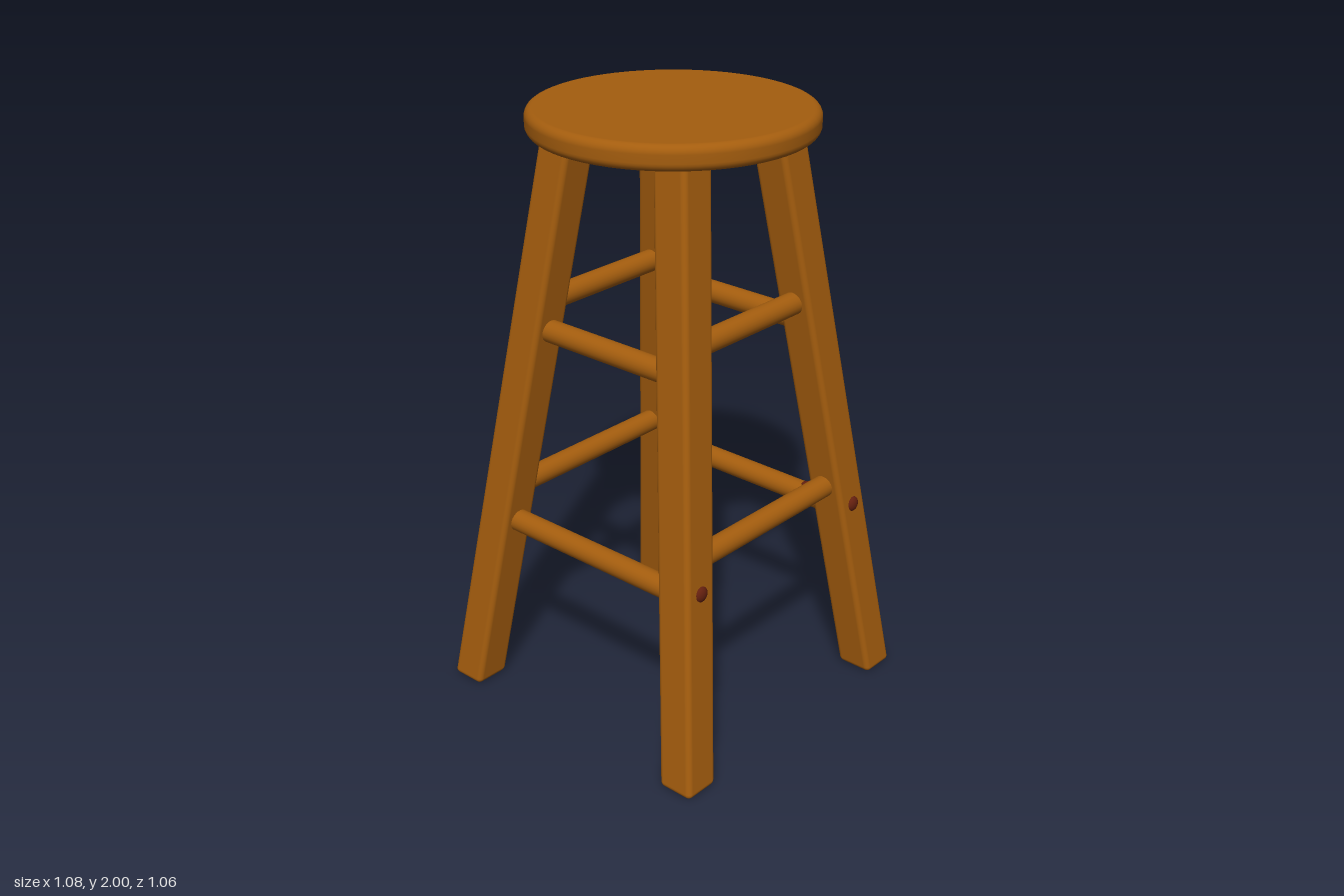
import * as THREE from 'three';
import { RoundedBoxGeometry } from 'three/addons/geometries/RoundedBoxGeometry.js';

const wood = new THREE.MeshStandardMaterial({ color: 0xa45d0e });
wood.name = 'warm wood';
const redBrown = new THREE.MeshStandardMaterial({ color: 0x64200f });
redBrown.name = 'dark red brown';

const LEG_HEIGHT = 1.93, LEG_WIDTH = 0.126;
const SPLAY_X = 0.13, SPLAY_Z = 0.132; // inward lean per unit of height
const legX = (y) => 0.477 - SPLAY_X * y;
const legZ = (y) => 0.471 - SPLAY_Z * y;

function add(parent, name, geometry, material, x = 0, y = 0, z = 0) {
  const mesh = new THREE.Mesh(geometry, material);
  mesh.name = name;
  mesh.position.set(x, y, z);
  parent.add(mesh);
  return mesh;
}

// Round seat with softened edges and a darker underside
function makeSeat() {
  const seat = new THREE.Group();
  seat.name = 'seat';
  const R = 0.448, bottom = 1.92, top = 2, r = 0.027;
  const profile = [new THREE.Vector2(0.37, bottom)];
  const arc = (cy, from) => {
    for (let i = 0; i <= 6; i++) {
      const a = from + (i / 6) * Math.PI / 2;
      profile.push(new THREE.Vector2(R - r + Math.cos(a) * r, cy + Math.sin(a) * r));
    }
  };
  arc(bottom + r, -Math.PI / 2);
  arc(top - r, 0);
  profile.push(new THREE.Vector2(0, top));
  add(seat, 'seatTop', new THREE.LatheGeometry(profile, 64), wood);
  const under = add(seat, 'seatUnderside', new THREE.CircleGeometry(0.37, 64), redBrown, 0, bottom, 0);
  under.rotation.x = Math.PI / 2;
  return seat;
}

// Square leg sheared inwards, so its foot and top stay level
function makeLeg(sx, sz) {
  const geometry = new RoundedBoxGeometry(LEG_WIDTH, LEG_HEIGHT, LEG_WIDTH, 3, 0.018);
  geometry.translate(0, LEG_HEIGHT / 2, 0);
  geometry.applyMatrix4(new THREE.Matrix4().set(
    1, -sx * SPLAY_X, 0, sx * legX(0),
    0, 1, 0, 0.005,
    0, -sz * SPLAY_Z, 1, sz * legZ(0),
    0, 0, 0, 1));
  return geometry;
}

export function createModel() {
  const stool = new THREE.Group();
  stool.name = 'stool';
  stool.add(makeSeat());

  // Legs, each with a plug on its outer side
  for (const sx of [-1, 1]) {
    for (const sz of [-1, 1]) {
      add(stool, 'leg', makeLeg(sx, sz), wood);
      const y = 0.65;
      const plug = add(stool, 'plug', new THREE.SphereGeometry(0.026, 16, 12), redBrown,
        sx * (legX(y) + LEG_WIDTH / 2 - 0.003), y, sz * legZ(y));
      plug.scale.x = 0.6;
    }
  }

  // Round rungs: front and back pairs sit lower than the side pairs
  const radius = 0.037;
  for (const s of [-1, 1]) {
    for (const y of [0.62, 1.29]) {
      const rung = add(stool, s > 0 ? 'frontRung' : 'backRung',
        new THREE.CylinderGeometry(radius, radius, 2 * legX(y), 24), wood, 0, y, s * legZ(y));
      rung.rotation.z = Math.PI / 2;
    }
    for (const y of [0.72, 1.37]) {
      const rung = add(stool, s > 0 ? 'leftRung' : 'rightRung',
        new THREE.CylinderGeometry(radius, radius, 2 * legZ(y), 24), wood, s * legX(y), y, 0);
      rung.rotation.x = Math.PI / 2;
    }
  }

  // Small plug on top of the lower back rung
  const rungPlug = add(stool, 'rungPlug', new THREE.SphereGeometry(0.018, 12, 8), redBrown, 0.26, 0.655, -legZ(0.62));
  rungPlug.scale.y = 0.4;

  return stool;
}
